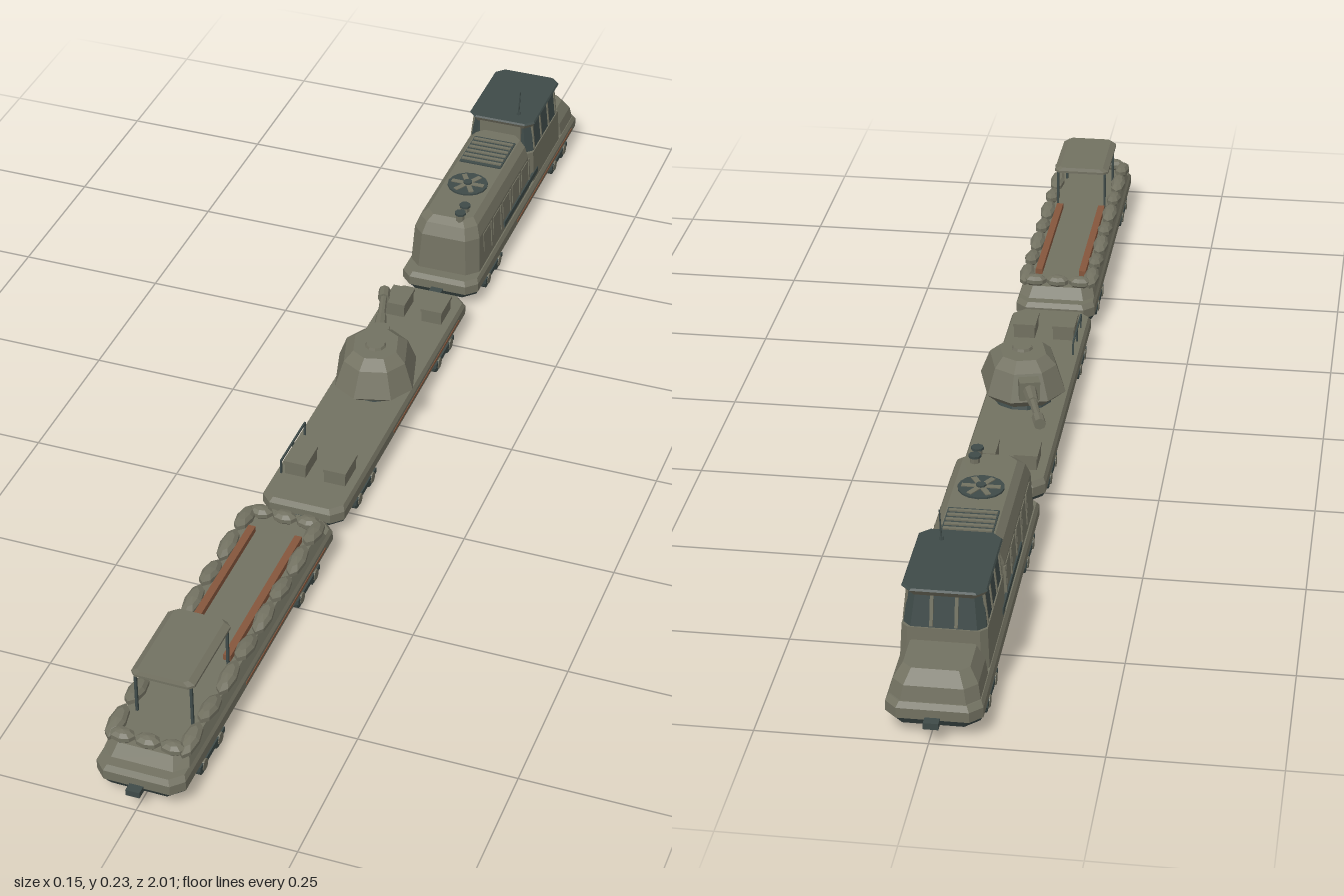
import * as THREE from 'three';

const mat = (name, color, side = THREE.FrontSide) => {
  const m = new THREE.MeshStandardMaterial({ color, side, flatShading: true });
  m.name = name;
  return m;
};

export function createModel() {
  const olive = mat('olive armour', 0x727161);
  const slate = mat('dark slate', 0x3e4a48, THREE.DoubleSide);
  const rust = mat('rusty brown', 0x85563c);

  const add = (parent, name, geo, m, x = 0, y = 0, z = 0) => {
    const mesh = new THREE.Mesh(geo, m);
    mesh.name = name;
    mesh.position.set(x, y, z);
    parent.add(mesh);
    return mesh;
  };
  const box = (p, name, m, w, h, d, x, y, z) => add(p, name, new THREE.BoxGeometry(w, h, d), m, x, y, z);
  const cyl = (p, name, m, r0, r1, h, n, x, y, z) => add(p, name, new THREE.CylinderGeometry(r1, r0, h, n), m, x, y, z);

  // Stack of chamfered rectangles: [y, half width, z min, z max, corner cut]
  const loft = (levels, capped = true) => {
    const rings = levels.map(([y, w, a, b, c]) => [
      [w, y, b - c], [w, y, a + c], [w - c, y, a], [c - w, y, a],
      [-w, y, a + c], [-w, y, b - c], [c - w, y, b], [w - c, y, b]]);
    const pos = [];
    const tri = (...p) => p.forEach((q) => pos.push(...q));
    for (let k = 0; k + 1 < rings.length; k++) {
      for (let i = 0; i < 8; i++) {
        const j = (i + 1) % 8, lo = rings[k], hi = rings[k + 1];
        tri(lo[i], lo[j], hi[j]);
        tri(lo[i], hi[j], hi[i]);
      }
    }
    const bot = rings[0], top = rings[rings.length - 1];
    for (let i = 1; capped && i < 7; i++) {
      tri(top[0], top[i], top[i + 1]);
      tri(bot[0], bot[i + 1], bot[i]);
    }
    const g = new THREE.BufferGeometry();
    g.setAttribute('position', new THREE.Float32BufferAttribute(pos, 3));
    g.computeVertexNormals();
    return g;
  };

  const train = new THREE.Group();
  train.name = 'armouredTrain';

  // Flat car shared by all three vehicles: open skirt, deck, bogies and couplers
  const makeCar = (name, zc, half) => {
    const car = new THREE.Group();
    car.name = name;
    car.position.set(-0.004, 0, zc);
    train.add(car);
    add(car, 'lowerSkirt', loft([[0.02, 0.064, -half + 0.008, half - 0.008, 0.02], [0.032, 0.069, -half, half, 0.02],
      [0.045, 0.068, -half + 0.002, half - 0.002, 0.02]], false), slate);
    add(car, 'sideBand', loft([[0.032, 0.07, -half, half, 0.018], [0.045, 0.07, -half, half, 0.018]], false), olive);
    add(car, 'deck', loft([[0.045, 0.07, -half, half, 0.018], [0.048, 0.07, -half, half, 0.018],
      [0.056, 0.066, -half + 0.006, half - 0.006, 0.018]]), olive);
    box(car, 'rustStripe', rust, 0.002, 0.004, 0.34, 0.07, 0.04, -0.1);
    for (const s of [-1, 1]) {
      box(car, 'coupler', slate, 0.022, 0.01, 0.026, 0, 0.031, s * (half + 0.002));
      for (const b of [-0.2, 0.2]) {
        box(car, 'bogieFrame', slate, 0.006, 0.009, 0.095, s * 0.066, 0.02, b);
        for (const w of [-0.03, 0.03]) {
          const disc = (part, m, r, h, x) => {
            cyl(car, part, m, r, r, h, 12, s * x, 0.0172, b + w).rotation.z = Math.PI / 2;
          };
          disc('wheel', slate, 0.0172, 0.014, 0.059);
          disc('wheelInnerFace', rust, 0.0168, 0.003, 0.051);
          disc('axleCap', olive, 0.0095, 0.004, 0.068);
        }
      }
    }
    return car;
  };

  // ---- Troop wagon with sandbags and a canopy ----
  const troop = makeCar('troopWagon', 0.664, 0.322);
  add(troop, 'sideWall', loft([[0.055, 0.067, -0.3, 0.3, 0.018], [0.074, 0.061, -0.285, 0.285, 0.018]]), olive);
  const bagGeo = new THREE.SphereGeometry(1, 8, 5);
  const bag = (x, z, along, tilt) => {
    const b = add(troop, 'sandbag', bagGeo, olive, x, 0.081, z);
    b.scale.set(along ? 0.014 : 0.021, 0.011, along ? 0.036 : 0.014);
    b.rotation.x = tilt;
  };
  for (const s of [-1, 1]) {
    for (let i = 0; i < 8; i++) bag(s * 0.058, -0.252 + i * 0.072, true, i % 2 ? 0.12 : -0.1);
    for (let i = -1; i <= 1; i++) bag(i * 0.04, s * 0.275, false, 0);
    box(troop, 'bench', rust, 0.012, 0.01, 0.3, s * 0.039, 0.079, -0.084);
    for (const z of [0.074, 0.212]) box(troop, 'canopyPost', slate, 0.004, 0.078, 0.004, s * 0.044, 0.111, z);
  }
  add(troop, 'canopy', loft([[0.146, 0.05, 0.066, 0.22, 0.008], [0.15, 0.05, 0.066, 0.22, 0.008],
    [0.156, 0.04, 0.068, 0.218, 0.006]]), olive);

  // ---- Gun wagon ----
  const gun = makeCar('gunWagon', 0, 0.324);
  for (const s of [-1, 1]) {
    for (const z of [-0.252, 0.228]) {
      box(gun, 'ammoCrate', olive, 0.036, 0.022, 0.052, s * 0.034, 0.066, z);
      box(gun, 'crateLid', olive, 0.039, 0.005, 0.055, s * 0.034, 0.079, z);
    }
  }
  for (const z of [0.147, 0.2, 0.255]) box(gun, 'railPost', slate, 0.003, 0.026, 0.003, -0.058, 0.067, z);
  box(gun, 'railBar', slate, 0.003, 0.003, 0.111, -0.058, 0.08, 0.201);

  const turret = new THREE.Group();
  turret.name = 'turret';
  turret.position.set(0.005, 0, -0.024);
  turret.rotation.y = 0.27;
  gun.add(turret);
  cyl(turret, 'turretRing', slate, 0.05, 0.045, 0.016, 12, 0, 0.063, 0);
  add(turret, 'turretBody', loft([[0.07, 0.05, -0.062, 0.064, 0.026], [0.085, 0.065, -0.078, 0.082, 0.034],
    [0.128, 0.051, -0.06, 0.064, 0.028], [0.143, 0.036, -0.04, 0.046, 0.02]]), olive);
  cyl(turret, 'hatch', olive, 0.018, 0.016, 0.005, 10, 0, 0.145, 0.008);
  box(turret, 'mantlet', olive, 0.034, 0.032, 0.03, 0, 0.108, -0.07);
  const tube = (name, r0, r1, len, z) => {
    cyl(turret, name, olive, r0, r1, len, 8, 0, 0.109, z).rotation.x = -Math.PI / 2;
  };
  tube('barrelSleeve', 0.012, 0.009, 0.05, -0.1);
  tube('barrel', 0.007, 0.006, 0.09, -0.15);
  tube('muzzleBrake', 0.01, 0.01, 0.026, -0.191);

  // ---- Locomotive ----
  const loco = makeCar('locomotive', -0.674, 0.315);
  add(loco, 'hood', loft([[0.055, 0.064, -0.04, 0.29, 0.02], [0.122, 0.06, -0.04, 0.284, 0.02],
    [0.142, 0.053, -0.04, 0.273, 0.018], [0.152, 0.042, -0.04, 0.26, 0.015]]), olive);
  box(loco, 'roofGrille', slate, 0.078, 0.004, 0.09, 0, 0.152, 0.036);
  for (let i = 0; i < 6; i++) box(loco, 'grilleSlat', olive, 0.074, 0.003, 0.006, 0, 0.155, 0.001 + i * 0.014);
  cyl(loco, 'fanDisc', slate, 0.036, 0.036, 0.004, 16, 0, 0.153, 0.15);
  for (let i = 0; i < 3; i++) {
    box(loco, 'fanBlade', olive, 0.06, 0.002, 0.009, 0, 0.1555, 0.15).rotation.y = i * Math.PI / 3;
  }
  cyl(loco, 'fanHub', slate, 0.008, 0.008, 0.005, 8, 0, 0.157, 0.15);
  for (const z of [0.232, 0.258]) {
    cyl(loco, 'exhaustStack', olive, 0.008, 0.008, 0.018, 8, 0.022, 0.154, z);
    cyl(loco, 'exhaustCap', slate, 0.01, 0.01, 0.004, 8, 0.022, 0.163, z);
  }
  for (const s of [-1, 1]) {
    for (let i = 0; i < 5; i++) {
      const z = 0.005 + i * 0.055;
      box(loco, 'hoodRib', olive, 0.004, 0.05, 0.005, s * 0.0615, 0.093, z - 0.026).rotation.z = s * 0.06;
      box(loco, 'hoodPanel', olive, 0.003, 0.036, 0.036, s * 0.0612, 0.1, z).rotation.z = s * 0.06;
    }
    box(loco, 'sideVent', slate, 0.004, 0.012, 0.2, s * 0.0635, 0.069, 0.03);
  }

  // Cab: armoured base, glazed upper part, olive rear wall, pillars and overhanging roof
  add(loco, 'cabBase', loft([[0.055, 0.065, -0.214, -0.036, 0.01], [0.118, 0.062, -0.21, -0.036, 0.01]]), olive);
  add(loco, 'cabWindows', loft([[0.118, 0.06, -0.208, -0.04, 0.012], [0.172, 0.054, -0.196, -0.044, 0.012]]), slate);
  box(loco, 'cabRearWall', olive, 0.078, 0.05, 0.006, 0, 0.147, -0.041);
  for (const s of [-1, 1]) {
    for (const z of [-0.188, -0.145, -0.1, -0.056]) {
      box(loco, 'windowPillar', olive, 0.004, 0.052, 0.004, s * 0.0573, 0.146, z).rotation.z = s * 0.11;
    }
    box(loco, 'frontPillar', olive, 0.005, 0.052, 0.004, s * 0.018, 0.146, -0.203).rotation.x = 0.22;
  }
  add(loco, 'roofEdge', loft([[0.168, 0.055, -0.204, -0.04, 0.012], [0.178, 0.062, -0.212, -0.034, 0.014]]), olive);
  add(loco, 'cabRoof', loft([[0.178, 0.062, -0.212, -0.034, 0.014], [0.181, 0.06, -0.21, -0.036, 0.014]]), slate);
  cyl(loco, 'antenna', slate, 0.0018, 0.001, 0.05, 6, 0.027, 0.205, -0.065).rotation.z = -0.05;
  cyl(loco, 'antennaBase', slate, 0.004, 0.003, 0.006, 6, 0.026, 0.183, -0.065);

  // Sloped nose
  add(loco, 'nose', loft([[0.055, 0.065, -0.307, -0.2, 0.018], [0.078, 0.061, -0.302, -0.2, 0.018],
    [0.098, 0.048, -0.286, -0.2, 0.014]]), olive);
  return train;
}
